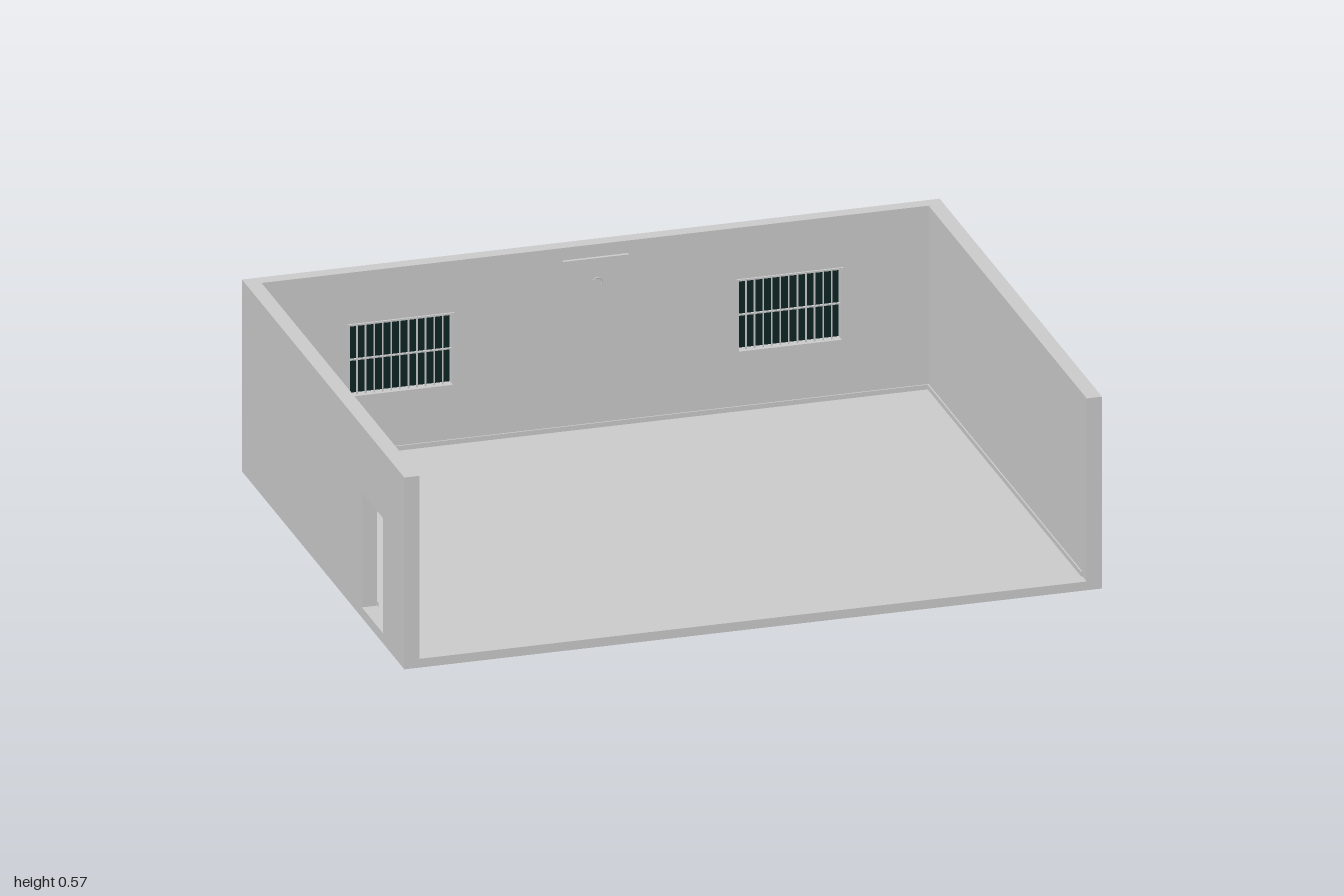
import * as THREE from 'three';

const W = 1, D = 0.755, H = 0.567, T = 0.044, FLOOR = 0.026;
const WIN = { x0: 0.41, x1: 0.705, y0: 0.203, y1: 0.41 };
const DOOR = { z0: 0.36, z1: 0.555, top: 0.37 };

export function createModel() {
  const model = new THREE.Group();
  model.name = 'openRoom';
  const plaster = new THREE.MeshStandardMaterial({ color: 0xcccccc });
  plaster.name = 'pale grey plaster';
  const glass = new THREE.MeshStandardMaterial({ color: 0x0c2424 });
  glass.name = 'dark teal glass';

  const add = (name, geo, mat = plaster, parent = model) => {
    const mesh = new THREE.Mesh(geo, mat);
    mesh.name = name;
    parent.add(mesh);
    return mesh;
  };
  // Box given by its minimum and maximum corners
  const box = (name, a, b, mat, parent) => {
    const mesh = add(name, new THREE.BoxGeometry(b[0] - a[0], b[1] - a[1], b[2] - a[2]), mat, parent);
    mesh.position.set((a[0] + b[0]) / 2, (a[1] + b[1]) / 2, (a[2] + b[2]) / 2);
    return mesh;
  };
  const rect = (x0, y0, x1, y1, Type = THREE.Shape) => {
    const s = new Type();
    s.moveTo(x0, y0);
    s.lineTo(x1, y0);
    s.lineTo(x1, y1);
    s.lineTo(x0, y1);
    s.closePath();
    return s;
  };
  const extrude = (shape, depth) => new THREE.ExtrudeGeometry(shape, { depth, bevelEnabled: false });

  // Floor slab
  box('floor', [-W, 0, -D], [W, FLOOR, D]);

  // Back wall with two window openings
  const back = rect(-W, FLOOR, W, H);
  for (const s of [-1, 1]) {
    const a = Math.min(s * WIN.x0, s * WIN.x1), b = Math.max(s * WIN.x0, s * WIN.x1);
    back.holes.push(rect(a, WIN.y0, b, WIN.y1, THREE.Path));
  }
  add('backWall', extrude(back, T - 0.004)).position.z = -D;

  // Side walls; the right one has a doorway
  const sideLength = [-D + T - 0.004, D];
  const plain = rect(sideLength[0], FLOOR, sideLength[1], H);
  const pierced = plain.clone();
  pierced.holes.push(rect(DOOR.z0, FLOOR + 0.004, DOOR.z1, DOOR.top, THREE.Path));
  for (const [name, shape, x] of [['leftWall', plain, W], ['rightWall', pierced, -W + T]]) {
    const wall = add(name, extrude(shape, T));
    wall.rotation.y = -Math.PI / 2;
    wall.position.x = x;
  }

  // Skirting along the walls
  const inX = W - T, inZ = -D + T - 0.004;
  box('backSkirting', [-inX, FLOOR, inZ], [inX, FLOOR + 0.014, inZ + 0.004]);
  box('leftSkirting', [inX - 0.004, FLOOR, inZ], [inX, FLOOR + 0.014, D - 0.04]);
  box('rightSkirtingRear', [-inX, FLOOR, inZ], [-inX + 0.004, FLOOR + 0.014, DOOR.z0]);
  box('rightSkirtingFront', [-inX, FLOOR, DOOR.z1], [-inX + 0.004, FLOOR + 0.014, D - 0.04]);

  // Barred windows
  for (const s of [-1, 1]) {
    const win = new THREE.Group();
    win.name = s < 0 ? 'rightWindow' : 'leftWindow';
    const a = Math.min(s * WIN.x0, s * WIN.x1), b = Math.max(s * WIN.x0, s * WIN.x1);
    const frame = rect(a - 0.005, WIN.y0 - 0.005, b + 0.005, WIN.y1 + 0.005);
    frame.holes.push(rect(a, WIN.y0, b, WIN.y1, THREE.Path));
    add('windowFrame', extrude(frame, 0.006), plaster, win).position.z = inZ;
    box('windowPane', [a, WIN.y0, -0.744], [b, WIN.y1, -0.737], glass, win);
    const count = 12;
    for (let i = 1; i < count; i++) {
      const x = a + ((b - a) * i) / count;
      box('windowBar', [x - 0.0018, WIN.y0, -0.724], [x + 0.0018, WIN.y1, -0.72], plaster, win);
    }
    const mid = (WIN.y0 + WIN.y1) / 2;
    box('windowCrossBar', [a, mid - 0.002, -0.725], [b, mid + 0.002, -0.719], plaster, win);
    model.add(win);
  }

  // Wall rail with a small hook below it
  box('wallRail', [-0.094, 0.518, inZ], [0.094, 0.53, -0.705]);
  const hook = add('wallHook', new THREE.TorusGeometry(0.014, 0.002, 6, 16, Math.PI));
  hook.position.set(0.006, 0.455, inZ + 0.003);
  hook.rotation.z = -Math.PI / 5;

  return model;
}
